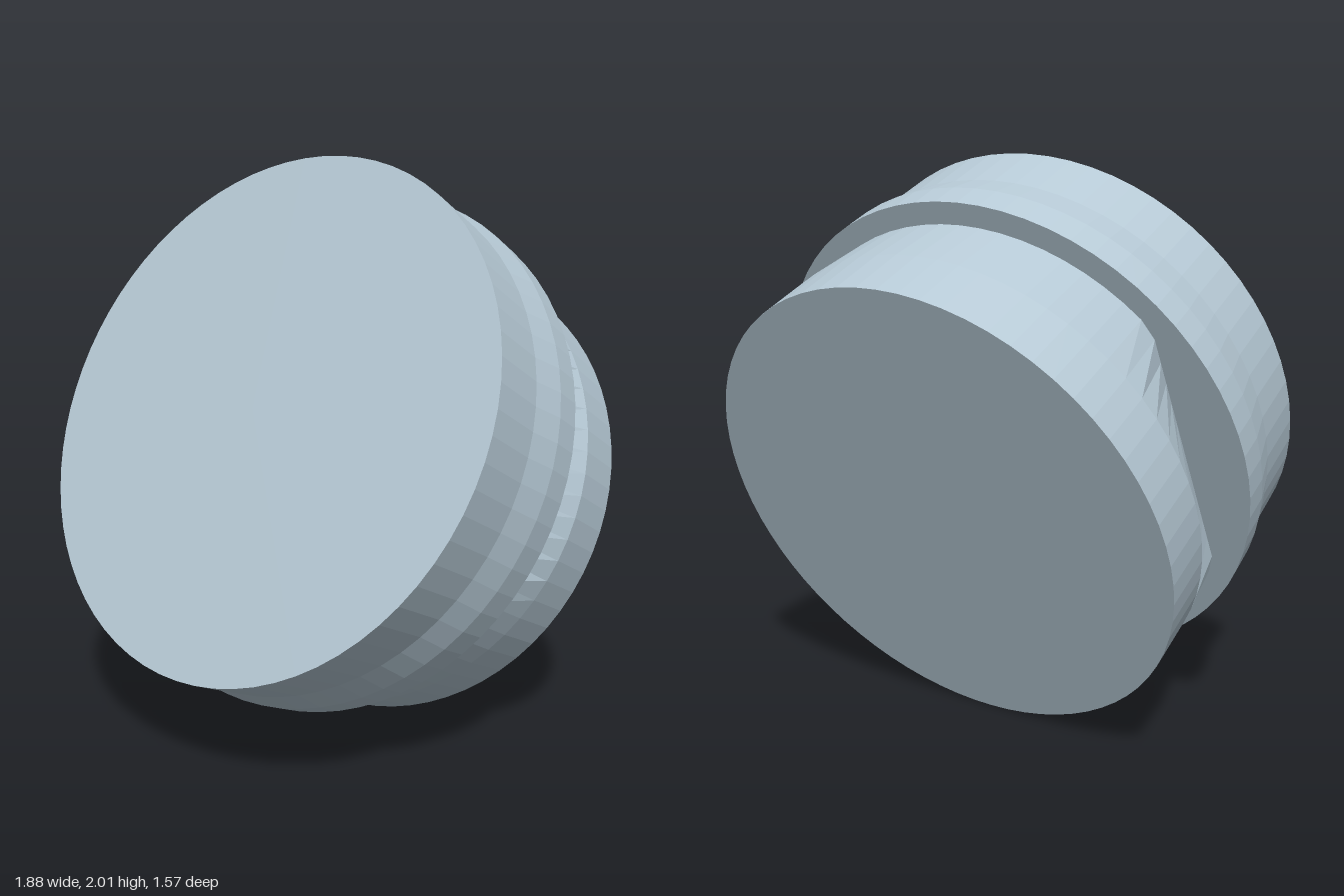
import * as THREE from 'three';

const SEGMENTS = 72;
const TILT = 1.153; // leans the axis so the front face looks up

function lathe(profile) {
  return new THREE.LatheGeometry(profile.map(([r, y]) => new THREE.Vector2(r, y)), SEGMENTS);
}

// Flattens both sides of the neck where it meets the collar
function flattenSides(geometry) {
  const pos = geometry.attributes.position;
  const middle = THREE.MathUtils.degToRad(5);
  const flat = 0.732; // distance from the axis to the flat side
  for (let i = 0; i < pos.count; i++) {
    if (pos.getY(i) < -0.02) continue;
    const x = pos.getX(i), z = pos.getZ(i);
    const radius = Math.hypot(x, z);
    const c = Math.cos(Math.atan2(-z, Math.abs(x)) - middle);
    if (c <= 0 || radius * c <= flat) continue;
    const k = flat / c / radius;
    pos.setX(i, x * k);
    pos.setZ(i, z * k);
  }
  geometry.computeVertexNormals();
  return geometry;
}

export function createModel() {
  const model = new THREE.Group();
  model.name = 'collaredDrum';
  const paleBlue = new THREE.MeshStandardMaterial({ color: 0xb5c8d4, flatShading: true });
  paleBlue.name = 'paleBlue';

  const drum = new THREE.Group();
  drum.name = 'drum';
  drum.rotation.x = TILT;
  drum.position.y = 0.983;
  model.add(drum);

  // Wide front half with a raised rim at its back edge
  const collar = new THREE.Mesh(lathe([
    [0, 0], [0.938, 0], [0.938, 0.11], [0.913, 0.23], [0.913, 0.458], [0, 0.458],
  ]), paleBlue);
  collar.name = 'frontCollar';
  drum.add(collar);

  // Narrower back half, round at the back and flat-sided at the collar
  const neck = new THREE.Mesh(flattenSides(lathe([
    [0, -0.463], [0.873, -0.463], [0.875, -0.25], [0.86, 0],
  ])), paleBlue);
  neck.name = 'backNeck';
  drum.add(neck);

  return model;
}
